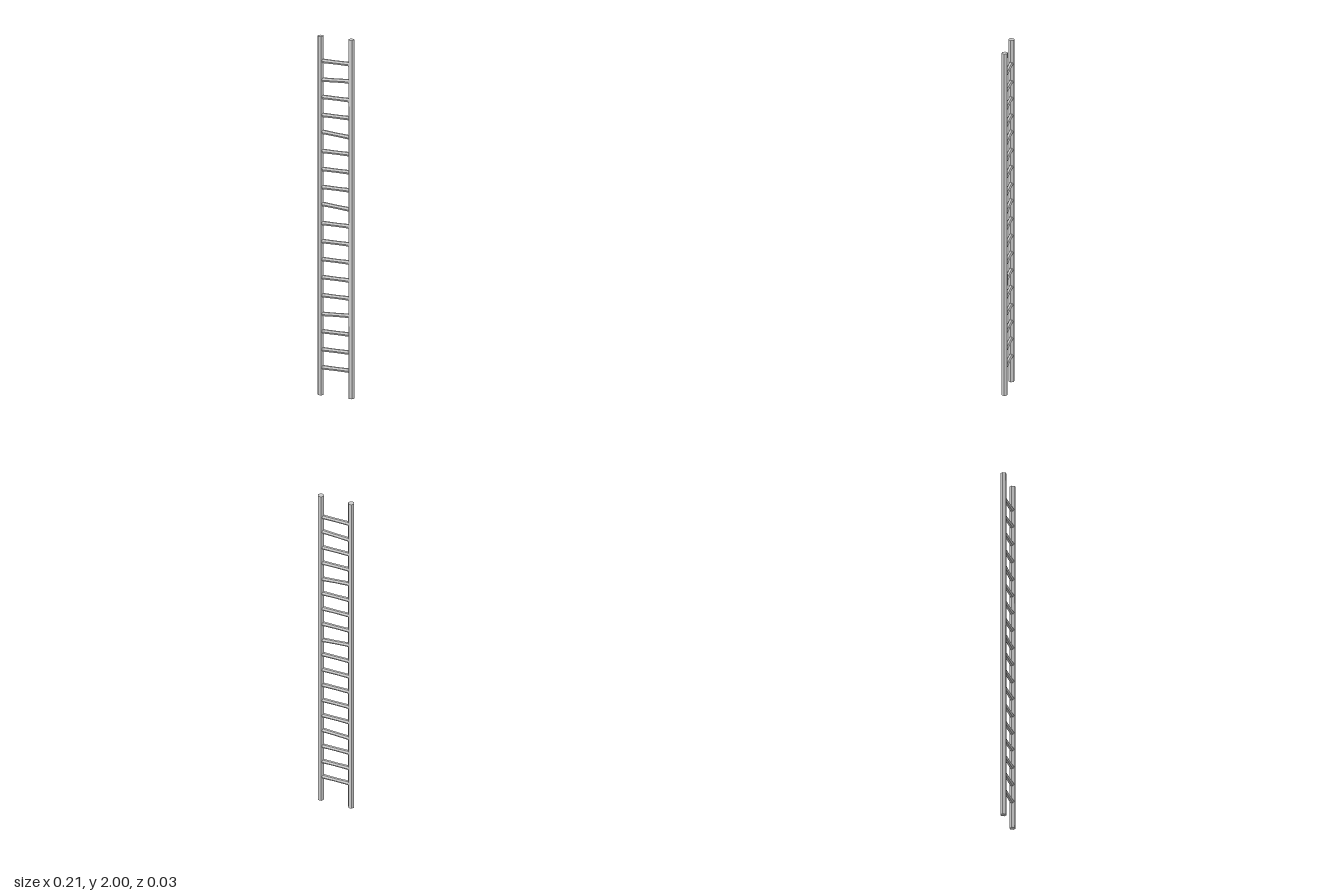
import * as THREE from 'three';

const material = new THREE.MeshStandardMaterial({ color: 0xcccccc, flatShading: true });
const RAIL_X = 0.088, RAIL_R = 0.0175, RUNG_R = 0.0125;

// Six-sided upright pole with a hint of hand-cut unevenness along its length
function makeRail(name, x, phase) {
  const g = new THREE.CylinderGeometry(RAIL_R, RAIL_R, 2, 6, 6);
  g.rotateY(Math.PI / 6);
  const p = g.attributes.position;
  for (let i = 0; i < p.count; i++) {
    const s = 1 - 0.025 * (1 + Math.sin(p.getY(i) * 5 + phase)) / 2;
    p.setX(i, p.getX(i) * s);
    p.setZ(i, p.getZ(i) * s);
  }
  const rail = new THREE.Mesh(g, material);
  rail.name = name;
  rail.position.set(x, 1, 0);
  return rail;
}

// Six-sided rung, slightly thinner at mid-span
const rungGeometry = new THREE.CylinderGeometry(RUNG_R, RUNG_R, 2 * RAIL_X - 0.01, 6, 2);
{
  const p = rungGeometry.attributes.position;
  for (let i = 0; i < p.count; i++) {
    if (Math.abs(p.getY(i)) < 0.01) {
      p.setX(i, p.getX(i) * 0.9);
      p.setZ(i, p.getZ(i) * 0.9);
    }
  }
  rungGeometry.rotateZ(Math.PI / 2);
}

export function createModel() {
  const model = new THREE.Group();
  model.name = 'ladder';
  model.add(makeRail('leftRail', RAIL_X, 0), makeRail('rightRail', -RAIL_X, 2));

  // Evenly spaced rungs, a few of them set crooked
  const crooked = { 3: 0.05, 9: -0.08, 13: -0.08, 16: 0.06 };
  for (let i = 0; i < 18; i++) {
    const rung = new THREE.Mesh(rungGeometry, material);
    rung.name = `rung${i + 1}`;
    rung.position.y = 0.153 + i * 0.1005;
    rung.rotation.z = crooked[i] ?? 0;
    model.add(rung);
  }
  return model;
}
